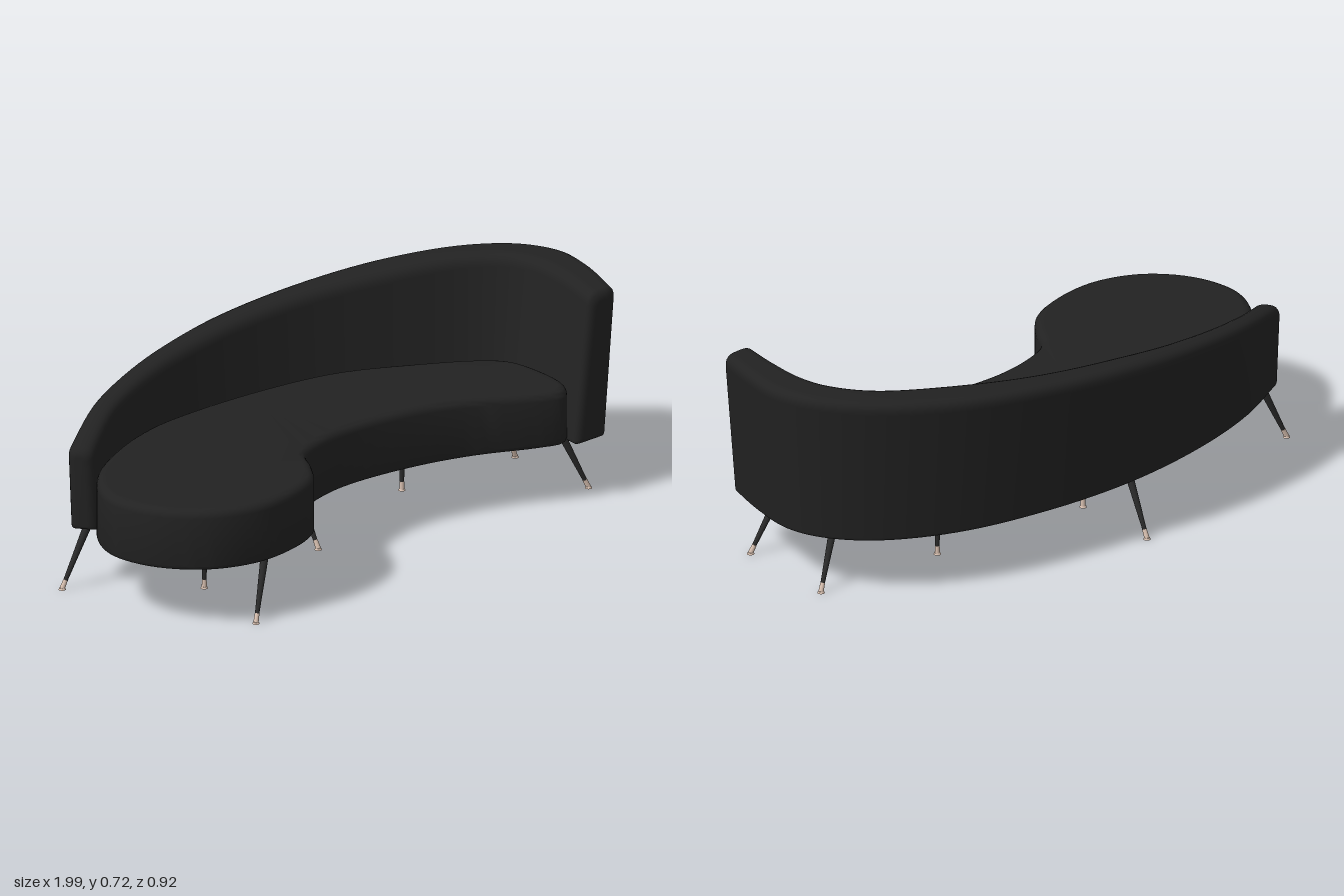
import * as THREE from 'three';
import { toCreasedNormals } from 'three/addons/utils/BufferGeometryUtils.js';

const fabric = new THREE.MeshStandardMaterial({ color: 0x222222 });
const legPaint = new THREE.MeshStandardMaterial({ color: 0x2a2a2a });
const metal = new THREE.MeshStandardMaterial({ color: 0xd8c0b0 });
const BASE = 0.2;

// Kidney-shaped cushion with softly rounded edges
function makeSeat() {
  const outline = [
    [-1, 0.11], [-0.97, 0], [-0.87, -0.12], [-0.7, -0.22], [-0.5, -0.29], [-0.3, -0.31],
    [0, -0.3], [0.25, -0.26], [0.5, -0.17], [0.7, -0.07], [0.78, 0.01], [0.8, 0.12],
    [0.78, 0.28], [0.73, 0.33], [0.65, 0.31], [0.45, 0.22], [0.25, 0.165], [0, 0.14],
    [-0.15, 0.16], [-0.27, 0.21], [-0.32, 0.29], [-0.4, 0.385], [-0.55, 0.44],
    [-0.7, 0.445], [-0.85, 0.385], [-0.96, 0.26],
  ].map(([x, z]) => new THREE.Vector3(x, -z, 0));
  const points = new THREE.CatmullRomCurve3(outline, true).getPoints(130).slice(0, -1);
  const shape = new THREE.Shape(points.map((p) => new THREE.Vector2(p.x, p.y)));
  const bevel = 0.028;
  const geo = new THREE.ExtrudeGeometry(shape, {
    depth: 0.208 - 2 * bevel, bevelThickness: bevel, bevelSize: bevel,
    bevelOffset: -bevel, bevelSegments: 5,
  });
  geo.rotateX(-Math.PI / 2).translate(0, BASE + bevel, 0);
  // The top drops slightly towards the arm; the lower edge is tighter
  const pos = geo.attributes.position;
  for (let i = 0; i < pos.count; i++) {
    const y = pos.getY(i);
    if (y > 0.3) pos.setY(i, y - 0.018 * THREE.MathUtils.smoothstep(pos.getX(i), 0.2, 0.75));
    else pos.setY(i, BASE + (y - BASE) * 0.6);
  }
  return new THREE.Mesh(toCreasedNormals(geo, 0.7), fabric);
}

// Closed loop of [across, height] points: a four-cornered section with rounded corners
function roundedSection(corners, radii, steps = 5) {
  const loop = [];
  corners.forEach((c, k) => {
    const towards = (o) => c.clone().add(o.clone().sub(c).setLength(radii[k]));
    const arc = new THREE.QuadraticBezierCurve(
      towards(corners[(k + 3) % 4]), c, towards(corners[(k + 1) % 4]));
    loop.push(...arc.getPoints(steps));
  });
  return loop;
}

// Curved backrest that rises from the open end and wraps round into the arm
function makeBackrest() {
  // outer x, outer z, inner x, inner z, height, outer lean, inner lean
  const rows = [
    [-0.945, -0.19, -0.885, -0.11, 0.48, 0.01, 0.015],
    [-0.7, -0.325, -0.66, -0.225, 0.547, 0.02, 0.03],
    [-0.42, -0.41, -0.39, -0.29, 0.595, 0.025, 0.04],
    [-0.1, -0.45, -0.1, -0.3, 0.635, 0.027, 0.05],
    [0.23, -0.435, 0.2, -0.265, 0.665, 0.03, 0.06],
    [0.55, -0.37, 0.47, -0.18, 0.69, 0.035, 0.07],
    [0.8, -0.25, 0.67, -0.085, 0.71, 0.045, 0.08],
    [0.94, -0.11, 0.75, -0.01, 0.72, 0.055, 0.08],
    [0.995, 0.03, 0.775, 0.06, 0.722, 0.06, 0.08],
    [0.98, 0.18, 0.775, 0.19, 0.717, 0.055, 0.075],
    [0.93, 0.36, 0.755, 0.365, 0.7, 0.045, 0.06],
  ];
  const curve = (f) => new THREE.CatmullRomCurve3(rows.map(f));
  const outer = curve((r) => new THREE.Vector3(r[0], 0, r[1]));
  const inner = curve((r) => new THREE.Vector3(r[2], 0, r[3]));
  const form = curve((r) => new THREE.Vector3(r[4], r[5], r[6]));

  // Stations along the sweep, with the ends rounded over by shrinking the section
  const round = 0.03, span = 2.5, stations = [];
  const ends = [0, 0.05, 0.18, 0.4, 0.7, 1].map((f) => [
    f * round / span, round * (1 - Math.sqrt(1 - (1 - f) ** 2))]);
  ends.forEach(([t, inset]) => stations.push([t, inset]));
  for (let i = 1; i < 64; i++) stations.push([i / 64, 0]);
  [...ends].reverse().forEach(([t, inset]) => stations.push([1 - t, inset]));
  stations.sort((a, b) => a[0] - b[0]);

  const verts = [], index = [], centres = [];
  let n = 0;
  stations.forEach(([t, e], i) => {
    const o = outer.getPoint(t), across = inner.getPoint(t).sub(o);
    const w = across.length(), { x: h, y: leanOut, z: leanIn } = form.getPoint(t);
    across.normalize();
    const corners = [
      [leanOut + e, BASE + e * 0.5], [e, h - e], [w - leanIn - e, h - e], [w - e, BASE + e * 0.5],
    ].map(([u, y]) => new THREE.Vector2(u, y));
    const r = Math.min(0.04, corners[1].distanceTo(corners[2]) * 0.45);
    const loop = roundedSection(corners, [0.012, r, r, 0.012]);
    n = loop.length;
    const centre = new THREE.Vector3();
    loop.forEach((p) => {
      const v = o.clone().addScaledVector(across, p.x).setY(p.y);
      centre.addScaledVector(v, 1 / n);
      verts.push(v.x, v.y, v.z);
    });
    if (i === 0 || i === stations.length - 1) centres.push(centre);
  });
  const last = stations.length - 1;
  for (let i = 0; i < last; i++) {
    for (let j = 0; j < n; j++) {
      const k = (j + 1) % n, a = i * n, b = a + n;
      index.push(a + j, a + k, b + j, b + j, a + k, b + k);
    }
  }
  // End caps
  const c0 = verts.length / 3;
  centres.forEach((c) => verts.push(c.x, c.y, c.z));
  for (let j = 0; j < n; j++) {
    const k = (j + 1) % n;
    index.push(c0, k, j, c0 + 1, last * n + j, last * n + k);
  }
  const geo = new THREE.BufferGeometry();
  geo.setAttribute('position', new THREE.Float32BufferAttribute(verts, 3));
  geo.setIndex(index);
  geo.computeVertexNormals();
  return new THREE.Mesh(geo, fabric);
}

// Tapered, splayed leg with a metal ferrule and a small round foot
function makeLeg([topX, topZ, tipX, tipZ]) {
  const leg = new THREE.Group();
  const top = new THREE.Vector3(topX, BASE + 0.01, topZ);
  const tip = new THREE.Vector3(tipX, 0.004, tipZ);
  const rod = (name, from, to, rTop, rTip, material) => {
    const axis = from.clone().sub(to);
    const mesh = new THREE.Mesh(new THREE.CylinderGeometry(rTop, rTip, axis.length(), 16), material);
    mesh.position.copy(from).add(to).multiplyScalar(0.5);
    mesh.quaternion.setFromUnitVectors(new THREE.Vector3(0, 1, 0), axis.normalize());
    mesh.name = name;
    leg.add(mesh);
  };
  const joint = tip.clone().lerp(top, 0.13);
  rod('legShaft', top, joint, 0.0135, 0.007, legPaint);
  rod('legFerrule', joint, tip, 0.0075, 0.0085, metal);
  rod('legFoot', tip.clone().setY(0.006), tip.clone().setY(0), 0.009, 0.012, metal);
  leg.name = 'leg';
  return leg;
}

export function createModel() {
  const model = new THREE.Group();
  model.name = 'curvedSofa';
  const seat = makeSeat();
  seat.name = 'seat';
  const backrest = makeBackrest();
  backrest.name = 'backrest';
  model.add(seat, backrest);

  // top x, top z, tip x, tip z
  const legs = [
    [-0.62, 0.4, -0.7, 0.445], [-0.615, 0.105, -0.615, 0.105], [-0.87, -0.165, -0.96, -0.19],
    [-0.155, -0.36, -0.155, -0.455], [-0.145, -0.15, -0.145, -0.15], [-0.14, 0.01, -0.12, 0.1],
    [0.425, -0.105, 0.425, -0.105], [0.79, 0.24, 0.88, 0.28], [0.8, -0.04, 0.885, -0.075],
  ];
  legs.forEach((l) => model.add(makeLeg(l)));
  return model;
}
